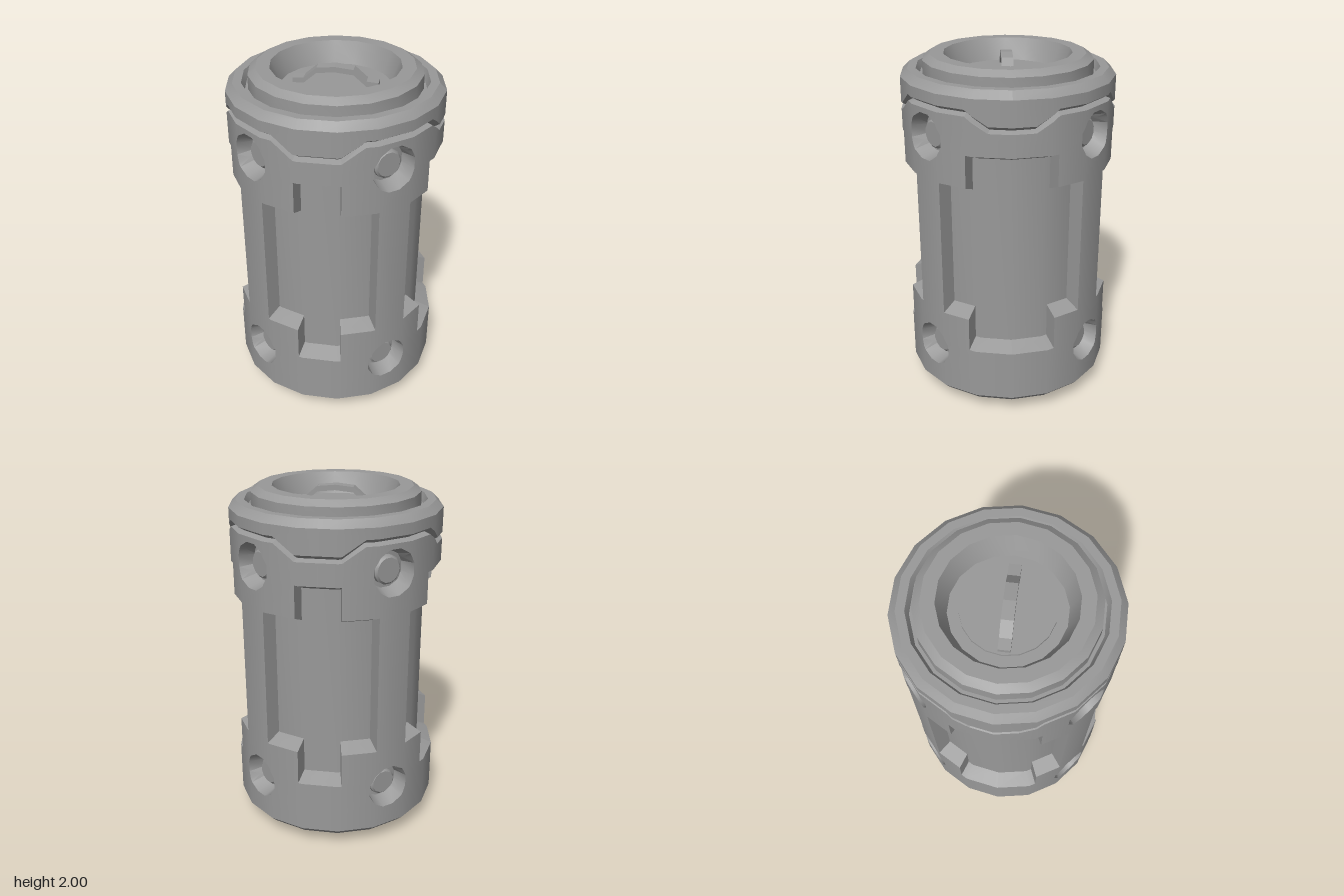
import * as THREE from 'three';
import { mergeGeometries, toCreasedNormals } from 'three/addons/utils/BufferGeometryUtils.js';

const SIDES = 18, STEP = 360 / SIDES, RAD = Math.PI / 180;
const R = 0.595;        // outer shell
const CORE = 0.503;     // recessed core
const RIM = 0.555;      // chamfered ends of the shell
const SCREW_ANGLE = 40, SCREW_YS = [0.365, 1.64];
const CREASE = 0.55;

const material = new THREE.MeshStandardMaterial({ color: 0x999999 });

function mesh(name, geometry) {
  const m = new THREE.Mesh(geometry, material);
  m.name = name;
  return m;
}

// Turned part; by default with the same 18 sides as the shell
function lathe(points, sides = SIDES) {
  const g = new THREE.LatheGeometry(points.map(p => new THREE.Vector2(...p)), sides, Math.PI / sides);
  return toCreasedNormals(g, CREASE);
}

// Cut a polygon of [angle, y, radius] points in two at a given angle
function cut(poly, angle) {
  const low = [], high = [];
  poly.forEach((a, i) => {
    const b = poly[(i + 1) % poly.length];
    const da = a[0] - angle, db = b[0] - angle;
    if (da <= 1e-6) low.push(a);
    if (da >= -1e-6) high.push(a);
    if ((da < -1e-6 && db > 1e-6) || (da > 1e-6 && db < -1e-6)) {
      const t = da / (da - db);
      const p = a.map((v, k) => v + (b[k] - v) * t);
      low.push(p);
      high.push(p);
    }
  });
  return [low, high].filter(p => p.length > 2 && p.some(q => Math.abs(q[0] - angle) > 1e-6));
}

// Wrap flat triangles round the 18-sided body, split at its corners
function wrap(triangles, isFace) {
  let polys = triangles;
  for (let a = -90; a <= 90; a += STEP) polys = polys.flatMap(p => cut(p, a));
  const positions = [], normals = [];
  const put = ([deg, y, r]) => {
    const local = deg - STEP * Math.round(deg / STEP);
    const rr = r * Math.cos(STEP / 2 * RAD) / Math.cos(local * RAD);
    const s = Math.sin(deg * RAD), c = Math.cos(deg * RAD);
    positions.push(rr * s, y, rr * c);
    normals.push(s, 0, c);
  };
  for (const p of polys)
    for (let i = 1; i < p.length - 1; i++) [p[0], p[i], p[i + 1]].forEach(put);
  const g = new THREE.BufferGeometry();
  g.setAttribute('position', new THREE.Float32BufferAttribute(positions, 3));
  g.setAttribute('normal', new THREE.Float32BufferAttribute(normals, 3));
  return isFace ? g : toCreasedNormals(g, CREASE);
}

// Quarter plate: outer face plus the walls that lead inwards.
// Contour points are [angle, y, innerRadius, innerY], counter-clockwise; holes clockwise.
function plate(contour, holes, side) {
  const flip = pts => side > 0 ? pts : pts.map(([a, ...rest]) => [-a, ...rest]).reverse();
  const loops = [contour, ...holes].map(flip);
  const flat = loops.map(l => l.map(p => new THREE.Vector2(p[0], p[1])));
  const all = loops.flat().map(p => [p[0], p[1], R]);
  const face = THREE.ShapeUtils.triangulateShape(flat[0], flat.slice(1)).map(f => f.map(i => all[i]));
  const walls = [];
  for (const loop of loops) {
    loop.forEach((p, i) => {
      const q = loop[(i + 1) % loop.length];
      // No wall where two plates meet
      if (p[0] === q[0] && (Math.abs(p[0]) === 0 || Math.abs(p[0]) === 90)) return;
      const a = [p[0], p[1], R], b = [q[0], q[1], R];
      const a2 = [p[0], p[3], p[2]], b2 = [q[0], q[3], q[2]];
      walls.push([a, a2, b], [b, a2, b2]);
    });
  }
  return mergeGeometries([wrap(face, true), wrap(walls, false)]);
}

// Four quarter plates make the full ring
function ring(contour, holes = []) {
  const parts = [];
  for (const side of [1, -1])
    for (const turn of [0, Math.PI]) parts.push(plate(contour, holes, side).rotateY(turn));
  return mergeGeometries(parts);
}

// Stepped edge that dips at the front, back and sides; its wall runs into the groove
const wave = (low, high, inset) =>
  [[0, low], [12, low], [24, high], [66, high], [78, low], [90, low]].map(([a, y]) => [a, y, 0.558, y + inset]);

function shellGeometry() {
  const open = ([a, y]) => [a, y, CORE - 0.012, y + (y < 1 ? 0.043 : -0.043)];
  // Half of a cross-shaped window, on the side and on the front
  const sideWindow = [[90, 0.42], [66, 0.42], [66, 0.62], [50.3, 0.62], [50.3, 1.41], [66, 1.41], [66, 1.59], [90, 1.59]];
  const frontWindow = [[0, 1.59], [12, 1.59], [12, 1.41], [31.5, 1.41], [31.5, 0.62], [12, 0.62], [12, 0.42], [0, 0.42]];
  const contour = [
    [0, 0.12, RIM, 0.08], [90, 0.12, RIM, 0.08],
    ...sideWindow.map(open),
    ...wave(1.715, 1.795, 0.012).reverse(),
    ...frontWindow.map(open),
  ];
  // Conical screw pockets
  const n = 12, deg = 0.13 / R / RAD;
  const pockets = SCREW_YS.map(cy => Array.from({ length: n }, (_, i) => {
    const t = -(i + 0.5) / n * Math.PI * 2;
    return [SCREW_ANGLE + deg * Math.cos(t), cy + 0.13 * Math.sin(t), CORE - 0.012, cy + 0.098 * Math.sin(t)];
  }));
  return ring(contour, pockets);
}

function capGeometry() {
  return ring([...wave(1.75, 1.83, -0.023), [90, 1.89, RIM, 1.93], [0, 1.89, RIM, 1.93]]);
}

export function createModel() {
  const group = new THREE.Group();

  group.add(mesh('shell', shellGeometry()));
  group.add(mesh('capRing', capGeometry()));
  group.add(mesh('core', lathe([[CORE, 0.2], [CORE, 1.8]])));

  // Top end with a recessed well and a raised disc
  group.add(mesh('topEnd', lathe([
    [RIM, 1.93], [0.508, 1.93], [0.49, 1.89], [0.472, 1.89], [0.472, 1.97], [0.43, 2],
    [0.355, 2], [0.305, 1.88], [0.246, 1.88], [0.246, 1.895], [0, 1.895],
  ])));
  // Bottom end with a plain well
  group.add(mesh('bottomEnd', lathe([
    [0, 0.11], [0.305, 0.11], [0.355, 0], [0.43, 0], [0.472, 0.03], [0.472, 0.11],
    [0.49, 0.11], [0.508, 0.08], [RIM, 0.08],
  ])));

  // Arched carrying handle in the top well
  const arch = [[-0.23, 1.89], [-0.17, 1.895], [-0.1, 1.955], [0, 1.965], [0.1, 1.955], [0.17, 1.895], [0.235, 1.89]];
  const outline = [...arch, ...arch.map(([x, y]) => [x, y + 0.03]).reverse()];
  const handle = new THREE.ExtrudeGeometry(
    new THREE.Shape(outline.map(p => new THREE.Vector2(...p))), { depth: 0.064, bevelEnabled: false });
  group.add(mesh('handle', handle.translate(0, 0, -0.025)));

  // Screws at the bottom of the pockets
  for (const deg of [SCREW_ANGLE, 180 - SCREW_ANGLE, 180 + SCREW_ANGLE, -SCREW_ANGLE]) {
    for (const y of SCREW_YS) {
      const screw = lathe([[0.08, -0.05], [0.08, 0.022], [0.068, 0.034], [0, 0.034]], 12);
      screw.rotateX(Math.PI / 2).translate(0, 0, 0.495).rotateY(deg * RAD).translate(0, y, 0);
      group.add(mesh('screw', screw));
    }
  }
  return group;
}
